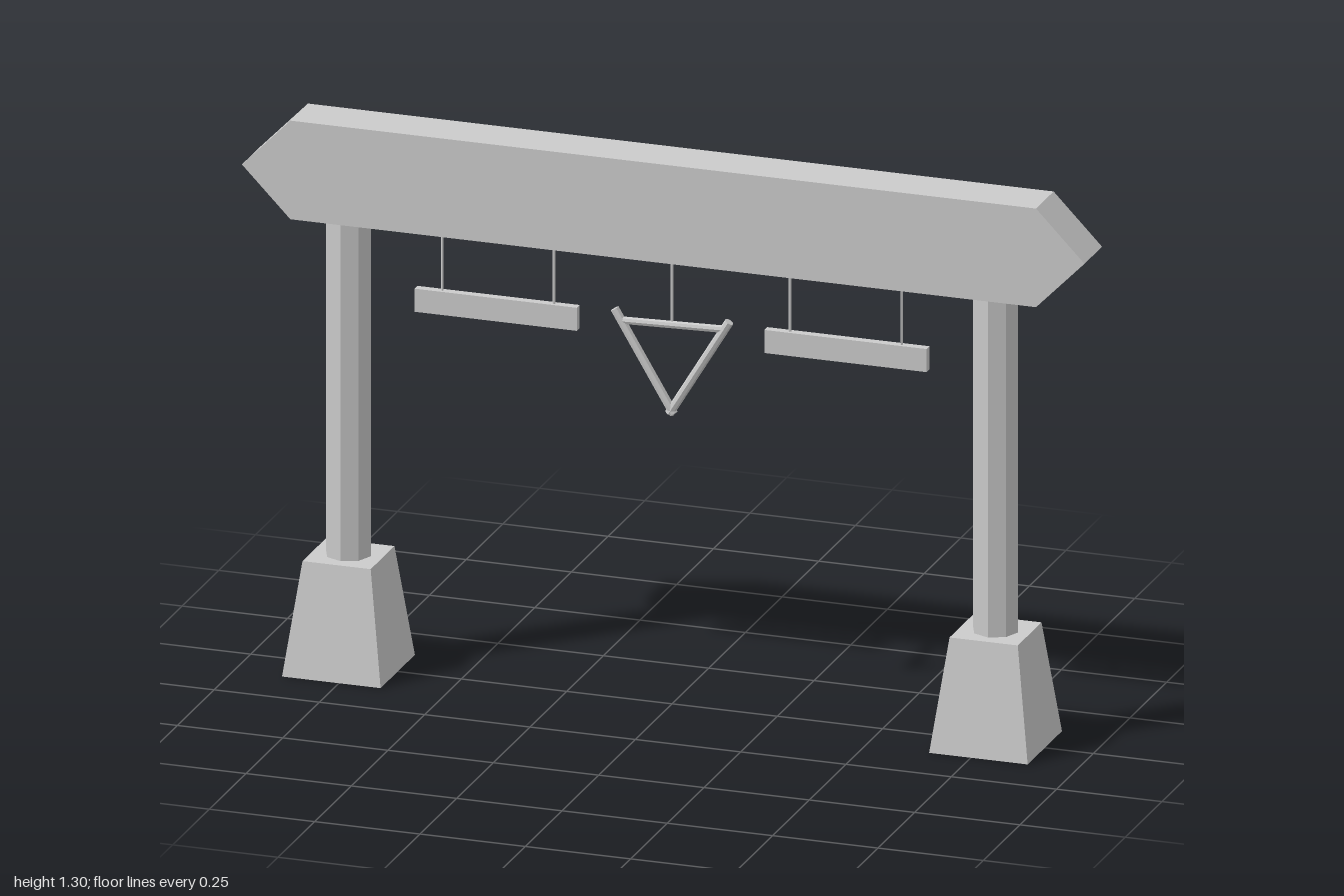
import * as THREE from 'three';

const material = new THREE.MeshStandardMaterial({ color: 0xcccccc, flatShading: true });

function add(parent, name, geometry, x = 0, y = 0, z = 0) {
  const mesh = new THREE.Mesh(geometry, material);
  mesh.name = name;
  mesh.position.set(x, y, z);
  parent.add(mesh);
  return mesh;
}

// Straight rod between two points in the plane of the frame
function rod(parent, name, [x0, y0], [x1, y1], radius, sides) {
  const length = Math.hypot(x1 - x0, y1 - y0);
  const mesh = add(parent, name, new THREE.CylinderGeometry(radius, radius, length, sides), (x0 + x1) / 2, (y0 + y1) / 2);
  mesh.rotation.z = Math.atan2(y1 - y0, x1 - x0) - Math.PI / 2;
}

export function createModel() {
  const model = new THREE.Group();
  model.name = 'hangingSignGate';

  // Crossbeam with pointed ends
  const outline = [[-1, 1.187], [-0.885, 1.07], [0.885, 1.07], [1, 1.187], [0.885, 1.305], [-0.885, 1.305]];
  const beamShape = new THREE.Shape(outline.map(([x, y]) => new THREE.Vector2(x, y)));
  const beam = new THREE.ExtrudeGeometry(beamShape, { depth: 0.12, bevelEnabled: false });
  add(model, 'crossbeam', beam, 0, 0, -0.06);

  for (const side of [-1, 1]) {
    const label = side > 0 ? 'left' : 'right';

    // Tapered square footing and octagonal post
    const footing = new THREE.CylinderGeometry(0.081 * Math.SQRT2, 0.117 * Math.SQRT2, 0.267, 4);
    footing.rotateY(Math.PI / 4);
    add(model, label + 'Footing', footing, side * 0.768, 0.1335);
    add(model, label + 'Post', new THREE.CylinderGeometry(0.053, 0.053, 0.808, 8), side * 0.768, 0.667);

    // Hanging board on two thin rods
    const sign = new THREE.Group();
    sign.name = label + 'HangingBoard';
    model.add(sign);
    add(sign, 'board', new THREE.BoxGeometry(0.385, 0.055, 0.02), side * 0.415, 0.893);
    for (const x of [0.28, 0.545]) rod(sign, 'hanger', [side * x, 0.918], [side * x, 1.075], 0.003, 6);
  }

  // Hanging triangle of three bars
  const triangle = new THREE.Group();
  triangle.name = 'hangingTriangle';
  model.add(triangle);
  rod(triangle, 'topBar', [-0.125, 0.9], [0.125, 0.907], 0.009, 8);
  rod(triangle, 'rightBar', [-0.136, 0.926], [0.004, 0.692], 0.0105, 8);
  rod(triangle, 'leftBar', [0.136, 0.926], [-0.006, 0.692], 0.0105, 8);
  rod(triangle, 'hanger', [0, 0.9], [0, 1.075], 0.003, 6);

  return model;
}
